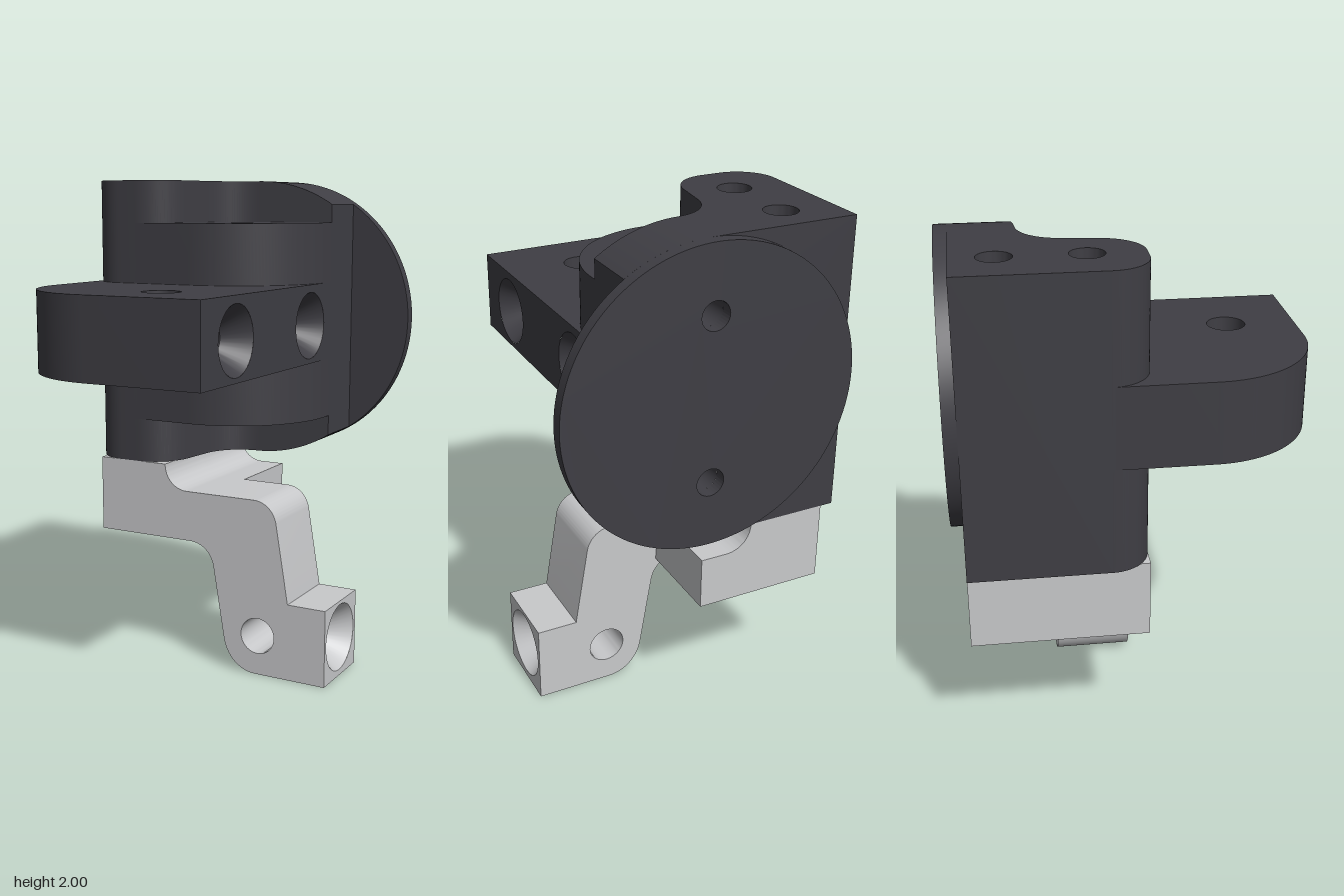
import * as THREE from 'three';
import { toCreasedNormals } from 'three/addons/utils/BufferGeometryUtils.js';

const dark = new THREE.MeshStandardMaterial({ color: 0x3f3e44 });
dark.name = 'charcoal';
const light = new THREE.MeshStandardMaterial({ color: 0xc8c9cb });
light.name = 'light grey';

const HALF = Math.PI / 2;
const MID = 1.42, R = 0.58;

// Shape from corner points with round holes given as [x, y, radius]
function withHoles(shape, holes = []) {
  for (const [x, y, r] of holes) {
    shape.holes.push(new THREE.Path().absarc(x, y, r, 0, Math.PI * 2, true));
  }
  return shape;
}
const poly = (pts, holes) => withHoles(new THREE.Shape(pts.map(p => new THREE.Vector2(...p))), holes);

function extrude(shape, depth) {
  return new THREE.ExtrudeGeometry(shape, { depth, bevelEnabled: false, curveSegments: 24 });
}
// Plan shapes are drawn as (x, -z) and raised from y0 to y1
const raise = (shape, y0, y1) => extrude(shape, y1 - y0).rotateX(-HALF).translate(0, y0, 0);

// Remove the flat face lying on axis = value, so a pierced plate can replace it
function openFace(geo, axis, value) {
  const k = 'xyz'.indexOf(axis), src = geo.attributes.position.array, kept = [];
  for (let i = 0; i < src.length; i += 9) {
    const onPlane = [0, 3, 6].every(j => Math.abs(src[i + j + k] - value) < 1e-4);
    if (!onPlane) kept.push(...src.slice(i, i + 9));
  }
  const out = new THREE.BufferGeometry();
  out.setAttribute('position', new THREE.Float32BufferAttribute(kept, 3));
  return out;
}

// Inner wall of a bore: profile of [radius, depth], opening towards +y
function bore(profile) {
  return new THREE.LatheGeometry(profile.map(([r, d]) => new THREE.Vector2(r, -d)), 36);
}

function add(group, name, geo, material) {
  const flat = geo.index ? geo.toNonIndexed() : geo;
  flat.computeVertexNormals();
  const mesh = new THREE.Mesh(toCreasedNormals(flat, 0.5), material);
  mesh.name = name;
  group.add(mesh);
}

function buildHousing() {
  const g = new THREE.Group();
  g.name = 'housing';

  // Tall block with an S-shaped front and two vertical bolt holes
  const plan = new THREE.Shape();
  plan.moveTo(-0.58, 0.64);
  plan.lineTo(-0.58, 0.1);
  plan.absarc(-0.43, 0.1, 0.15, Math.PI, Math.PI * 1.5, false);
  plan.lineTo(-0.35, -0.05);
  plan.bezierCurveTo(-0.27, -0.05, -0.2, 0.01, -0.19, 0.1);
  plan.lineTo(-0.175, 0.22);
  plan.bezierCurveTo(-0.165, 0.32, -0.1, 0.385, 0, 0.39);
  plan.lineTo(0, 0.64);
  withHoles(plan, [[-0.37, 0.16, 0.065], [-0.37, 0.48, 0.065]]);
  let block = raise(plan, 0.84, 2);
  block = openFace(openFace(block, 'z', -0.64), 'x', 0);
  add(g, 'tallBlock', block, dark);

  // Back wall following the round flange
  const a = Math.acos(0.32 / R);
  const wall = new THREE.Shape();
  wall.moveTo(0, MID - R);
  wall.absarc(0, MID, R, -HALF, -a, false);
  wall.absarc(0, MID, R, a, HALF, false);
  let wallGeo = extrude(wall, 0.25).translate(0, 0, -0.64);
  wallGeo = openFace(openFace(wallGeo, 'z', -0.64), 'x', 0);
  const p = wallGeo.attributes.position;
  for (let i = 0; i < p.count; i++) {
    if (p.getZ(i) > -0.5) p.setZ(i, p.getZ(i) - 0.0625 * p.getX(i));
  }
  add(g, 'backWall', wallGeo, dark);

  // Rear face, round flange and its two blind holes
  const flangeHoles = [[0, MID + 0.32, 0.055], [0, MID - 0.32, 0.055]];
  const rear = new THREE.Shape();
  rear.moveTo(0.58, MID - R);
  rear.lineTo(0.58, MID + R);
  rear.lineTo(0, MID + R);
  rear.absarc(0, MID, R, HALF, Math.PI - a, false);
  rear.absarc(0, MID, R, Math.PI + a, Math.PI * 1.5, false);
  withHoles(rear, flangeHoles);
  add(g, 'rearFace', new THREE.ShapeGeometry(rear, 24).rotateY(Math.PI).translate(0, 0, -0.64), dark);
  const disc = withHoles(new THREE.Shape().absarc(0, MID, R, 0, Math.PI * 2, false), flangeHoles);
  add(g, 'roundFlange', new THREE.ExtrudeGeometry(disc, { depth: 0.05, bevelEnabled: false, curveSegments: 72 })
    .translate(0, 0, -0.69), dark);
  for (const [x, y, r] of flangeHoles) {
    add(g, 'flangeHole', bore([[r, 0], [r, 0.12], [0, 0.12]]).rotateX(-HALF).translate(x, y, -0.64), dark);
  }

  // Rounded ears above and below the arm
  const ear = new THREE.Shape();
  ear.moveTo(-0.36, -0.05);
  ear.lineTo(-0.1, -0.05);
  ear.absarc(-0.1, 0.37, 0.42, -HALF, 0, false);
  ear.lineTo(0.32, 0.5);
  ear.lineTo(-0.28, 0.5);
  ear.lineTo(-0.28, 0.05);
  ear.lineTo(-0.36, 0.05);
  withHoles(ear, [[0, 0.22, 0.075]]);
  add(g, 'upperEar', raise(ear, 1.585, 1.83), dark);
  add(g, 'lowerEar', raise(ear, 1.02, 1.265), dark);
  return g;
}

function buildArm() {
  const g = new THREE.Group();
  g.name = 'arm';
  const plan = new THREE.Shape();
  plan.moveTo(-0.58, 0.09);
  plan.lineTo(-0.58, -0.275);
  plan.absarc(-0.165, -0.275, 0.415, Math.PI, Math.PI * 1.5, false);
  plan.lineTo(0.32, -0.69);
  plan.lineTo(0.32, 0.5);
  plan.lineTo(-0.28, 0.5);
  plan.lineTo(-0.28, 0.09);
  withHoles(plan, [[0, 0.22, 0.075], [0, -0.42, 0.075]]);
  add(g, 'armBody', openFace(raise(plan, 1.265, 1.585), 'x', 0.32), dark);

  // Side face with two countersunk holes running into the vertical ones
  const centres = [0.43, -0.21];
  const side = poly([[-0.69, 1.265], [0.5, 1.265], [0.5, 1.585], [-0.69, 1.585]],
    centres.map(z => [-z, MID, 0.135]));
  add(g, 'armSide', new THREE.ShapeGeometry(side, 24).rotateY(HALF).translate(0.32, 0, 0), dark);
  for (const z of centres) {
    add(g, 'armCountersink', bore([[0.135, 0], [0.06, 0.1], [0.06, 0.26]])
      .rotateZ(-HALF).translate(0.32, MID, z), dark);
  }
  return g;
}

function buildBracket() {
  const g = new THREE.Group();
  g.name = 'bracket';

  // Cranked front leg with a cross hole
  const leg = new THREE.Shape();
  leg.moveTo(-0.53, 0.84);
  leg.lineTo(-0.53, 0.525);
  leg.lineTo(-0.1, 0.525);
  leg.bezierCurveTo(-0.04, 0.525, 0.005, 0.49, 0.015, 0.43);
  leg.lineTo(0.065, 0.13);
  leg.bezierCurveTo(0.08, 0.05, 0.14, 0, 0.21, 0);
  leg.lineTo(0.52, 0);
  leg.lineTo(0.52, 0.32);
  leg.lineTo(0.355, 0.32);
  leg.lineTo(0.3, 0.65);
  leg.bezierCurveTo(0.29, 0.7, 0.25, 0.735, 0.2, 0.735);
  leg.lineTo(-0.11, 0.735);
  leg.bezierCurveTo(-0.17, 0.735, -0.215, 0.78, -0.215, 0.84);
  withHoles(leg, [[0.22, 0.165, 0.075]]);
  let legGeo = extrude(leg, 0.315).translate(0, 0, -0.265);
  for (const [axis, v] of [['y', 0.84], ['y', 0.525], ['x', 0.52]]) legGeo = openFace(legGeo, axis, v);
  add(g, 'crankedLeg', legGeo, light);

  // Mounting foot behind the leg
  const foot = new THREE.Shape();
  foot.moveTo(-0.53, 0.84);
  foot.lineTo(-0.53, 0.525);
  foot.lineTo(-0.005, 0.525);
  foot.lineTo(-0.005, 0.735);
  foot.lineTo(-0.11, 0.735);
  foot.bezierCurveTo(-0.17, 0.735, -0.215, 0.78, -0.215, 0.84);
  let footGeo = extrude(foot, 0.375).translate(0, 0, -0.64);
  footGeo = openFace(openFace(footGeo, 'y', 0.84), 'y', 0.525);
  add(g, 'mountingFoot', footGeo, light);

  // Pierced top and underside
  const top = poly([[-0.53, -0.05], [-0.215, -0.05], [-0.215, 0.64], [-0.53, 0.64]],
    [[-0.37, 0.16, 0.07], [-0.37, 0.48, 0.07]]);
  add(g, 'footTop', new THREE.ShapeGeometry(top, 24).rotateX(-HALF).translate(0, 0.84, 0), light);
  const under = poly([[-0.53, -0.64], [-0.005, -0.64], [-0.005, -0.265], [-0.1, -0.265], [-0.1, 0.05], [-0.53, 0.05]],
    [[-0.37, -0.16, 0.07], [-0.37, -0.48, 0.135]]);
  add(g, 'footUnderside', new THREE.ShapeGeometry(under, 24).rotateX(HALF).translate(0, 0.525, 0), light);
  add(g, 'footHole', bore([[0.07, 0], [0.07, 0.315]]).rotateX(Math.PI).translate(-0.37, 0.525, -0.16), light);
  add(g, 'footCountersink', bore([[0.135, 0], [0.07, 0.1], [0.07, 0.315]])
    .rotateX(Math.PI).translate(-0.37, 0.525, -0.48), light);

  // Countersunk end of the leg
  const end = poly([[-0.05, 0], [0.265, 0], [0.265, 0.32], [-0.05, 0.32]], [[0.105, 0.165, 0.14]]);
  add(g, 'legEnd', new THREE.ShapeGeometry(end, 24).rotateY(HALF).translate(0.52, 0, 0), light);
  add(g, 'legCountersink', bore([[0.14, 0], [0.065, 0.1], [0.065, 0.24]])
    .rotateZ(-HALF).translate(0.52, 0.165, -0.105), light);
  return g;
}

export function createModel() {
  const model = new THREE.Group();
  model.name = 'hingeBracketAssembly';
  model.add(buildHousing(), buildArm(), buildBracket());
  return model;
}
